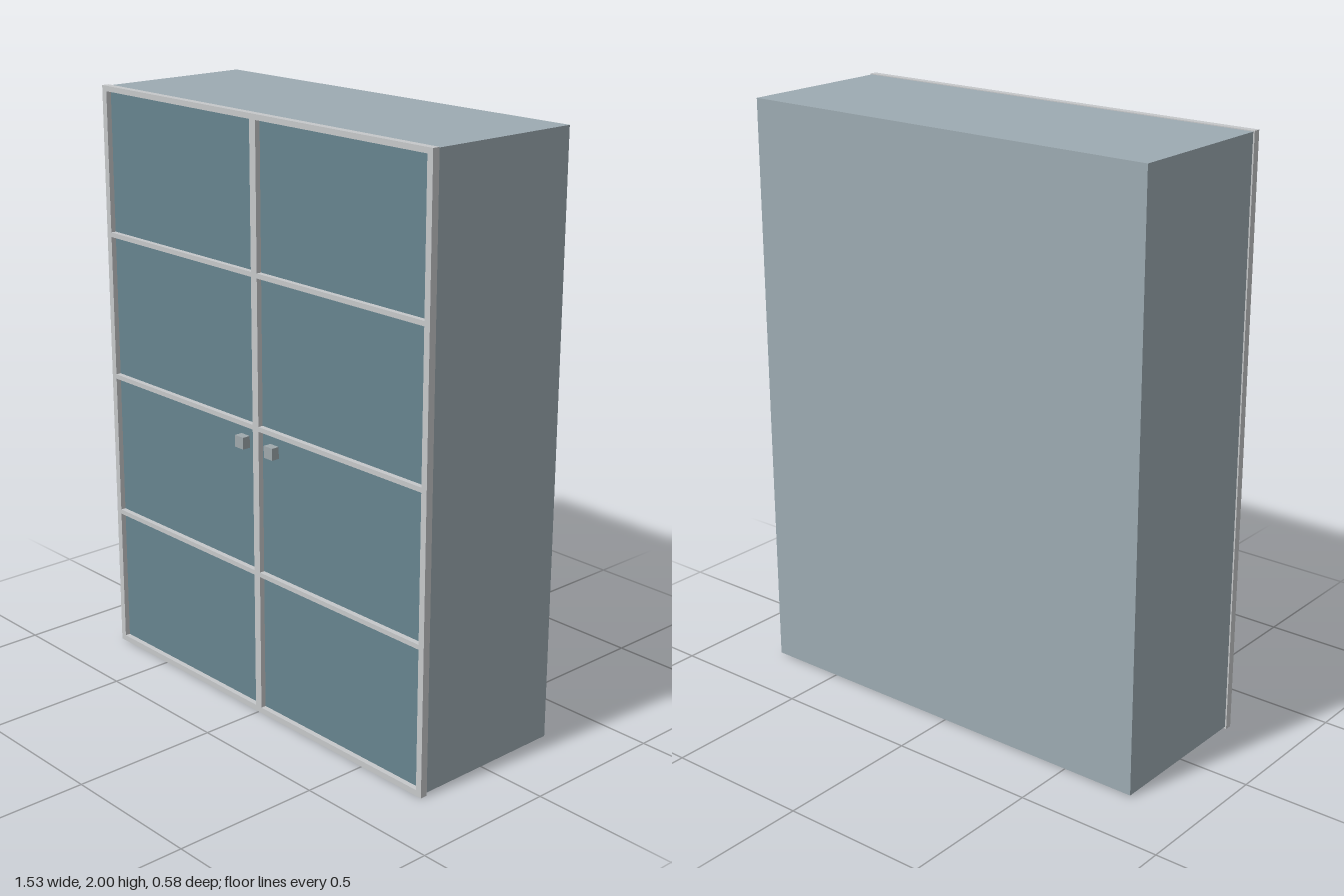
import * as THREE from 'three';

const material = (name, color) => {
  const m = new THREE.MeshStandardMaterial({ color });
  m.name = name;
  return m;
};

export function createModel() {
  const group = new THREE.Group();
  const bodyMat = material('greyBlueBody', 0x9dabb2);
  const frameMat = material('lightGreyFrame', 0xc6c8ca);
  const paneMat = material('tealPane', 0x66848f);
  const knobMat = material('greyKnob', 0x9fa8ac);

  // Box given by its low and high corners
  const box = (name, mat, [x0, y0, z0], [x1, y1, z1]) => {
    const mesh = new THREE.Mesh(new THREE.BoxGeometry(x1 - x0, y1 - y0, z1 - z0), mat);
    mesh.position.set((x0 + x1) / 2, (y0 + y1) / 2, (z0 + z1) / 2);
    mesh.name = name;
    group.add(mesh);
  };
  const rectangle = (path, x0, y0, x1, y1) =>
    path.moveTo(x0, y0).lineTo(x1, y0).lineTo(x1, y1).lineTo(x0, y1).closePath();

  // Cabinet body
  box('cabinetBody', bodyMat, [-0.76, 0.007, -0.29], [0.76, 1.997, 0.255]);

  // Door frame with four openings on each door, and a recessed pane in each
  const frame = rectangle(new THREE.Shape(), -0.765, 0, 0.765, 2);
  const rails = [[0.02, 0.492], [0.508, 0.992], [1.008, 1.492], [1.508, 1.982]];
  for (const [x0, x1] of [[-0.743, -0.014], [0.014, 0.743]]) {
    for (const [y0, y1] of rails) {
      frame.holes.push(rectangle(new THREE.Path(), x0, y0, x1, y1));
      box('doorPane', paneMat, [x0, y0, 0.254], [x1, y1, 0.262]);
    }
  }
  const frameMesh = new THREE.Mesh(
    new THREE.ExtrudeGeometry(frame, { depth: 0.025, bevelEnabled: false }), frameMat);
  frameMesh.position.z = 0.255;
  frameMesh.name = 'doorFrame';
  group.add(frameMesh);

  // Square knobs either side of the middle
  for (const x of [-0.071, 0.071])
    box('doorKnob', knobMat, [x - 0.02, 0.917, 0.262], [x + 0.02, 0.957, 0.29]);

  return group;
}
